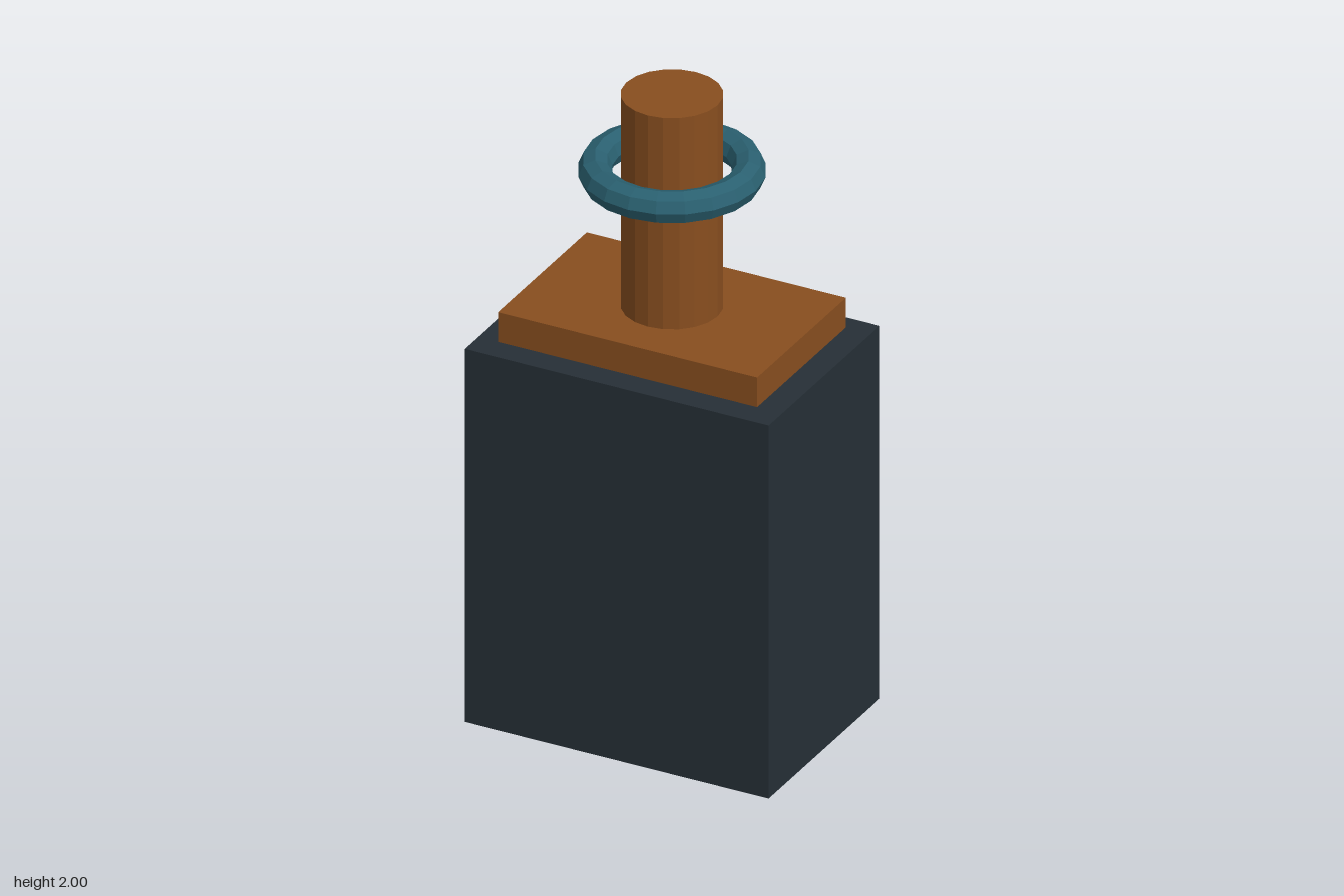
import * as THREE from 'three';

const paint = (color) => new THREE.MeshStandardMaterial({ color, flatShading: true });

export function createModel() {
  const group = new THREE.Group();
  const slate = paint(0x262f36), copper = paint(0x884e1f), teal = paint(0x2a6070);

  const add = (name, geometry, material, y) => {
    const mesh = new THREE.Mesh(geometry, material);
    mesh.name = name;
    mesh.position.y = y;
    group.add(mesh);
    return mesh;
  };

  // Tall block that everything stands on
  add('body', new THREE.BoxGeometry(0.98, 1.21, 0.675), slate, 0.605);

  // Flat plate hovering just above the block, held by the stem
  add('plate', new THREE.BoxGeometry(0.835, 0.096, 0.54), copper, 1.267);

  // Stem passing through the plate down to the block
  const top = 2, bottom = 1.2;
  add('stem', new THREE.CylinderGeometry(0.147, 0.147, top - bottom, 20), copper, (top + bottom) / 2);

  // Loose ring around the stem
  add('ring', new THREE.TorusGeometry(0.221, 0.049, 8, 20).rotateX(Math.PI / 2), teal, 1.753);

  return group;
}
